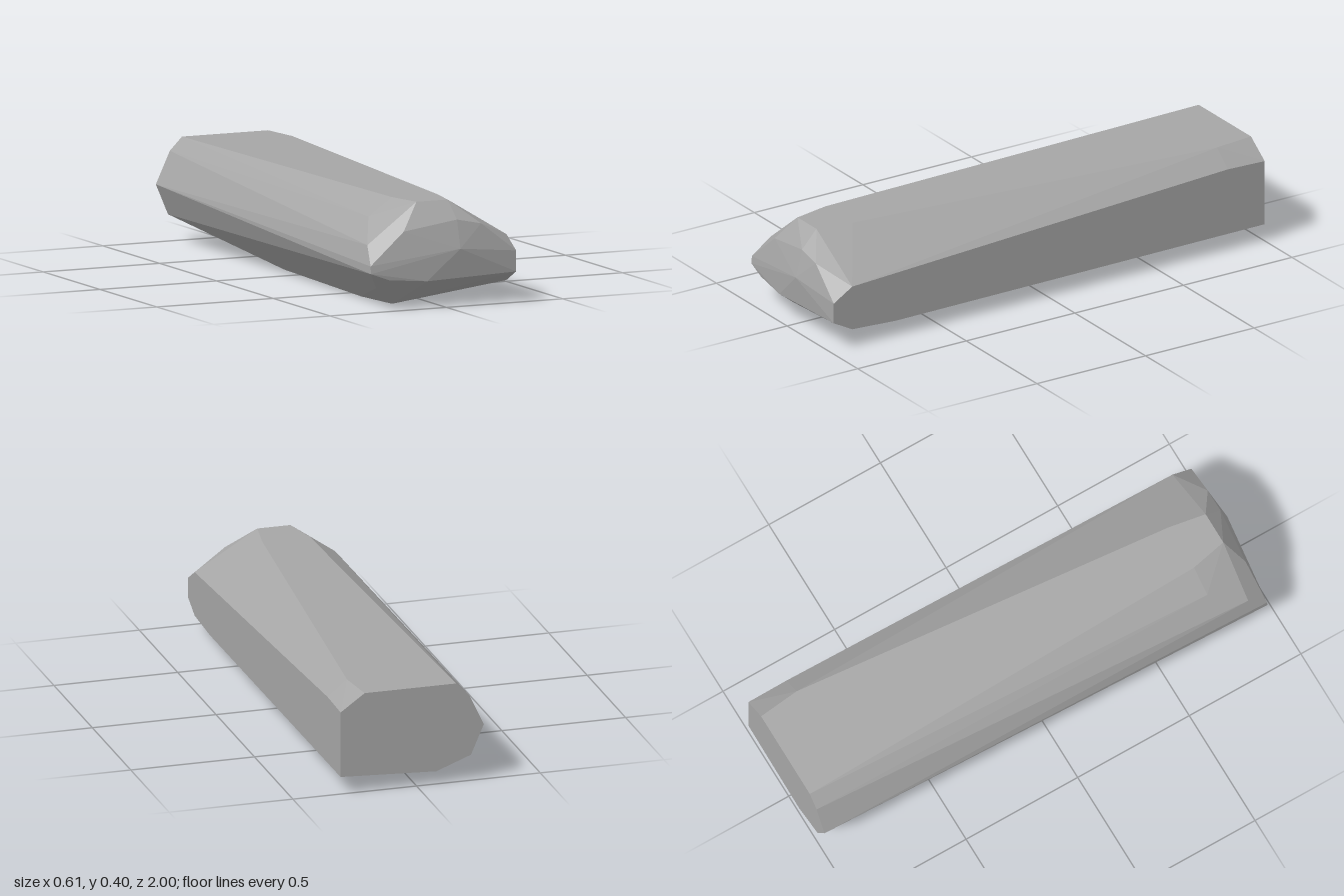
import * as THREE from 'three';
import { ConvexGeometry } from 'three/addons/geometries/ConvexGeometry.js';

export function createModel() {
  const group = new THREE.Group();
  group.name = 'stoneBlock';
  const stone = new THREE.MeshStandardMaterial({ color: 0xa6a6a6, flatShading: true });
  stone.name = 'grey stone';

  // cut corners of the stone, grouped by region
  const corners = [
    // flat back end
    [0.307, 0.07, -1], [0.307, 0.335, -1], [0.21, 0.404, -1], [-0.16, 0.404, -1],
    [-0.212, 0.352, -1], [-0.272, 0.225, -1], [-0.22, 0.105, -1], [-0.08, 0.052, -1],
    // flat top, tapering toward the front
    [0.229, 0.404, -0.83], [0.08, 0.404, 0.75], [0.054, 0.404, 0.9],
    [-0.08, 0.404, 0.9], [-0.112, 0.404, 0.75],
    // straight side at +x
    [0.307, 0.34, -0.83], [0.307, 0.252, 0.9], [0.307, 0.2, 0.985],
    [0.307, 0.118, 0.985], [0.307, 0.073, 0.9], [0.307, 0.062, 0.7],
    // rounded side at -x
    [-0.213, 0.335, 0.75], [-0.286, 0.247, 0.89],
    [-0.307, 0.175, 0.962], [-0.307, 0.145, 0.965], [-0.243, 0.075, 0.88],
    // keel along the bottom
    [-0.165, 0.006, 0.86], [-0.172, 0, 0.6], [-0.135, 0, 0.6], [-0.16, 0.008, -0.1],
    // blunt faceted front
    [0.06, 0.225, 1], [0.06, 0.335, 0.97], [0.162, 0.314, 0.973],
    [-0.16, 0.3, 0.953], [-0.23, 0.117, 0.97], [-0.075, 0.105, 0.987],
  ].map((p) => new THREE.Vector3(...p));

  const block = new THREE.Mesh(new ConvexGeometry(corners), stone);
  block.name = 'block';
  group.add(block);
  return group;
}
